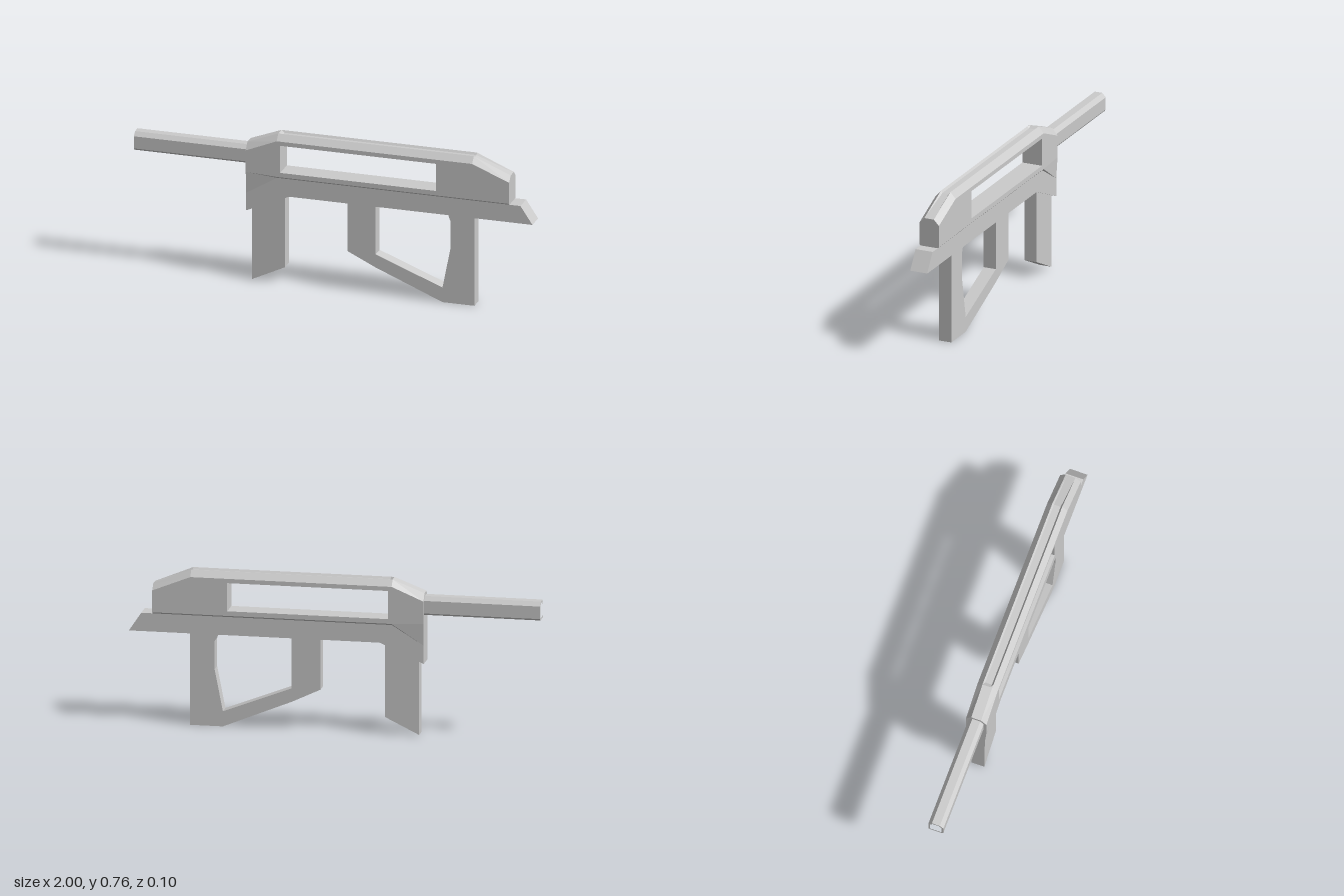
import * as THREE from 'three';

const material = new THREE.MeshStandardMaterial({ color: 0xcccccc, flatShading: true });

function addMesh(group, name, geometry) {
  const mesh = new THREE.Mesh(geometry, material);
  mesh.name = name;
  group.add(mesh);
}

// Flat plate with a side outline in x/y, centred on z = 0
function plate(points, halfWidth) {
  const shape = new THREE.Shape(points.map(([x, y]) => new THREE.Vector2(x, y)));
  const geometry = new THREE.ExtrudeGeometry(shape, { depth: halfWidth * 2, bevelEnabled: false });
  return geometry.translate(0, 0, -halfWidth);
}

// Half profile of [z, y] points, top to bottom, mirrored to a closed ring
const mirrorRing = (half) => [...half, ...half.map(([z, y]) => [-z, y]).reverse()];

// Capped solid through cross-sections: stations are [x, half profile]
function loft(stations) {
  const rings = stations.map(([x, half]) => mirrorRing(half).map(([z, y]) => new THREE.Vector3(x, y, z)));
  const positions = [];
  const tri = (...corners) => corners.forEach((p) => positions.push(p.x, p.y, p.z));
  for (let s = 0; s < rings.length - 1; s++) {
    const a = rings[s], b = rings[s + 1];
    a.forEach((p, i) => {
      const j = (i + 1) % a.length;
      tri(p, a[j], b[j]);
      tri(p, b[j], b[i]);
    });
  }
  for (const ring of [rings[0], rings[rings.length - 1]]) {
    const flat = ring.map((p) => new THREE.Vector2(-p.z, p.y));
    for (const [i, j, k] of THREE.ShapeUtils.triangulateShape(flat, [])) {
      if (ring === rings[0]) tri(ring[i], ring[k], ring[j]);
      else tri(ring[i], ring[j], ring[k]);
    }
  }
  const geometry = new THREE.BufferGeometry();
  geometry.setAttribute('position', new THREE.Float32BufferAttribute(positions, 3));
  geometry.computeVertexNormals();
  return geometry;
}

// Chamfered roof of the receiver, with a shallow groove of the given depth
const roof = (top, shoulder, groove) => [[0.017, top - groove], [0.025, top], [0.052, shoulder]];

export function createModel() {
  const model = new THREE.Group();
  model.name = 'blaster';

  // Receiver: front block flaring downwards
  addMesh(model, 'frontBlock', loft([
    [-0.435, [...roof(0.705, 0.67, 0), [0.052, 0.56], [0.045, 0.45], [0.045, 0.36]]],
    [-0.28, [...roof(0.765, 0.735, 0), [0.052, 0.552], [0.045, 0.545], [0.045, 0.428]]],
  ]));
  const solidSection = (top, shoulder, groove) =>
    [...roof(top, shoulder, groove), [0.052, 0.552], [0.045, 0.545]];
  addMesh(model, 'frontPost', loft([
    [-0.28, solidSection(0.765, 0.735, 0)],
    [-0.262, solidSection(0.765, 0.735, 0.01)],
  ]));

  // Top bar over the window, channelled underneath
  const barSection = [...roof(0.765, 0.735, 0.01), [0.052, 0.714], [0.035, 0.714], [0.035, 0.738]];
  addMesh(model, 'topBar', loft([[-0.262, barSection], [0.52, barSection]]));

  // Sill under the window
  const sillSection = [[0.052, 0.575], [0.052, 0.552], [0.045, 0.545]];
  addMesh(model, 'windowSill', loft([[-0.262, sillSection], [0.52, sillSection]]));

  // Rear block sloping down to the back
  addMesh(model, 'rearBlock', loft([
    [0.52, solidSection(0.765, 0.735, 0.01)],
    [0.7, solidSection(0.765, 0.735, 0.01)],
    [0.885, solidSection(0.688, 0.66, 0)],
  ]));

  // Lower rail with slanted tail
  addMesh(model, 'lowerRail', plate(
    [[-0.28, 0.428], [-0.22, 0.455], [1, 0.455], [0.94, 0.545], [-0.28, 0.545]], 0.045));

  // Hollow barrel
  const ringPath = (half) => mirrorRing(half).map(([z, y]) => new THREE.Vector2(z, y));
  const barrelShape = new THREE.Shape(ringPath(
    [[0.02, 0.69], [0.038, 0.67], [0.038, 0.608], [0.033, 0.6]]));
  barrelShape.holes.push(new THREE.Path(ringPath(
    [[0.016, 0.681], [0.029, 0.666], [0.029, 0.612], [0.026, 0.609]])));
  const barrel = new THREE.ExtrudeGeometry(barrelShape, { depth: 0.57, bevelEnabled: false });
  addMesh(model, 'barrel', barrel.rotateY(Math.PI / 2).translate(-1, 0, 0));

  // Front grip
  addMesh(model, 'frontGrip', plate(
    [[-0.41, 0.005], [-0.245, 0.085], [-0.245, 0.46], [-0.41, 0.39]], 0.032));

  // Rear grip and guard in one loop
  addMesh(model, 'rearGripAndGuard', plate([
    [0.07, 0.46], [0.07, 0.205], [0.21, 0.138], [0.545, 0], [0.705, 0], [0.705, 0.46],
    [0.57, 0.46], [0.585, 0.42], [0.585, 0.28], [0.545, 0.075], [0.21, 0.205], [0.21, 0.46],
  ], 0.032));

  return model;
}
